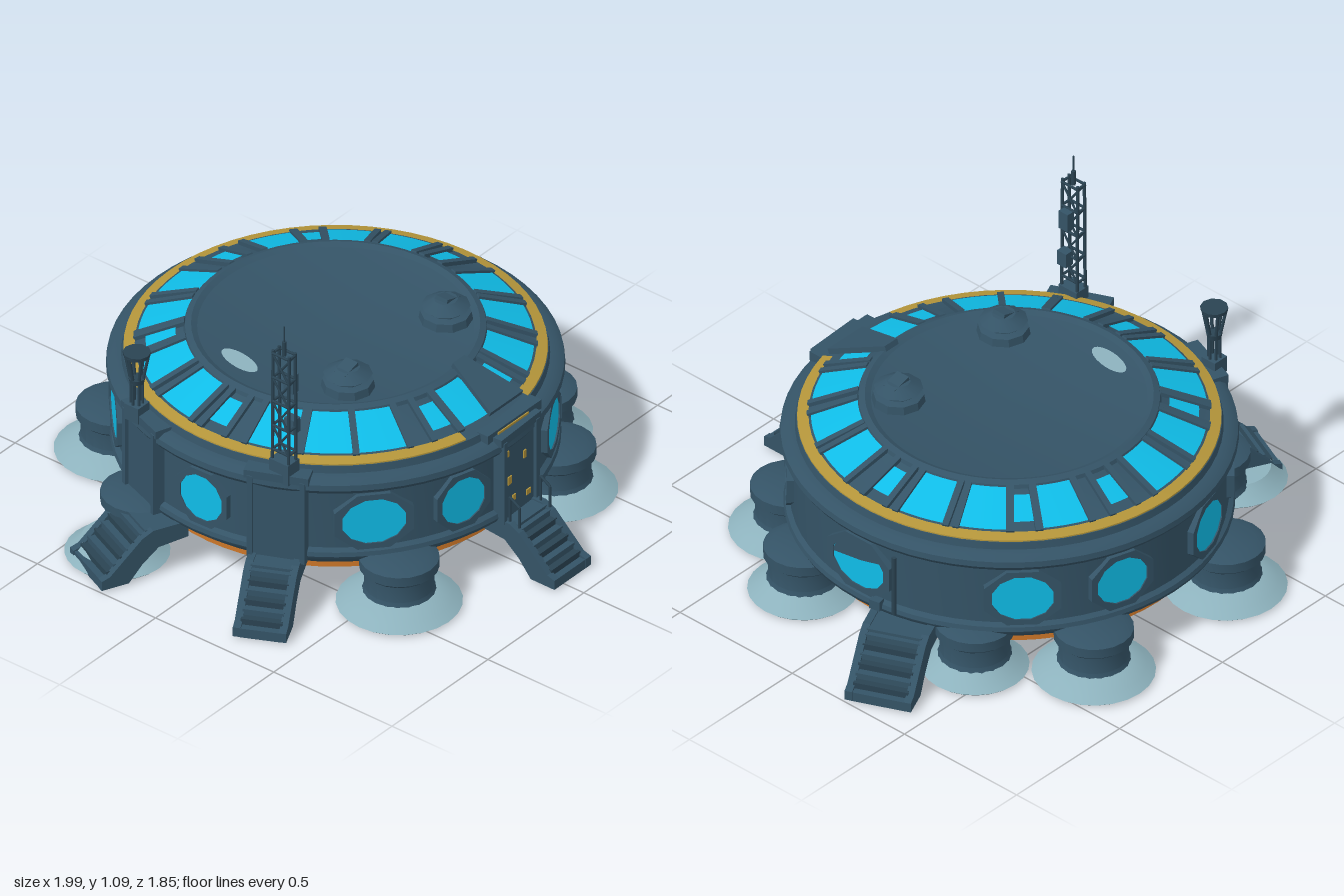
import * as THREE from 'three';
import { toCreasedNormals } from 'three/addons/utils/BufferGeometryUtils.js';

const mat = (name, color, side = THREE.FrontSide) => {
  const m = new THREE.MeshStandardMaterial({ color, side });
  m.name = name;
  return m;
};
const hull = mat('hull blue', 0x345366);
const dark = mat('dark frame', 0x2a4352);
const cyan = mat('cyan glass', 0x10c2ee, THREE.DoubleSide);
const yellow = mat('yellow trim', 0xb4953a);
const pale = mat('pale foot', 0x8db2bd, THREE.DoubleSide);
const rust = mat('rust', 0xbb6c24);
const under = mat('underside', 0xa8988f);

const rad = THREE.MathUtils.degToRad;
const v2 = ([x, y]) => new THREE.Vector2(x, y);

function add(parent, name, geo, material, x = 0, y = 0, z = 0) {
  const m = new THREE.Mesh(geo, material);
  m.name = name;
  m.position.set(x, y, z);
  parent.add(m);
  return m;
}
function sub(parent, name, x = 0, y = 0, z = 0, angle = 0) {
  const g = new THREE.Group();
  g.name = name;
  g.position.set(x, y, z);
  g.rotation.y = rad(angle);
  parent.add(g);
  return g;
}
const lathe = (pts, seg = 64, start = 0, len = Math.PI * 2) =>
  toCreasedNormals(new THREE.LatheGeometry(pts.map(v2), seg, start, len), 0.5);
const box = (w, h, d) => new THREE.BoxGeometry(w, h, d);

// Round bar between two points
function bar(parent, name, a, b, r, material = dark) {
  const p = new THREE.Vector3(...a), q = new THREE.Vector3(...b);
  const m = add(parent, name, new THREE.CylinderGeometry(r, r, p.distanceTo(q), 6), material);
  m.position.copy(p).add(q).multiplyScalar(0.5);
  m.quaternion.setFromUnitVectors(new THREE.Vector3(0, 1, 0), q.sub(p).normalize());
}

// Rounded wall window with raised frame; shaded ones have their upper part covered
function wallWindow(parent, angle, wide, shaded) {
  const g = sub(parent, 'wallWindow', 0, 0.33, 0, angle);
  const oval = (C, r, n) => {
    const c = new C();
    for (let i = 0; i < n; i++) {
      const t = (i + 0.5) * Math.PI * 2 / n;
      c[i ? 'lineTo' : 'moveTo'](Math.cos(t) * r * wide, Math.sin(t) * r);
    }
    c.closePath();
    return c;
  };
  const ring = oval(THREE.Shape, 0.115, 8);
  ring.holes.push(oval(THREE.Path, 0.088, 12));
  add(g, 'windowFrame', new THREE.ExtrudeGeometry(ring, { depth: 0.043, bevelEnabled: false }), hull, 0, 0, 0.692);
  add(g, 'windowGlass', new THREE.ShapeGeometry(oval(THREE.Shape, 0.091, 12)), cyan, 0, 0, 0.73);
  if (shaded) {
    const cover = new THREE.Shape([[-0.12, 0], [0.01, 0.02], [0.12, 0.05], [0.07, 0.09], [-0.07, 0.09]].map(v2));
    add(g, 'windowShade', new THREE.ShapeGeometry(cover), hull, 0, 0, 0.733);
  }
}

// Ramp with side stringers and treads; its outer end sits at x, z
function stairs(parent, x, z, heading, w) {
  const g = sub(parent, 'stairs', x, 0, z, heading);
  const s = new THREE.Shape([[0, 0.01], [0, 0.045], [-0.03, 0.055], [-0.15, 0.17], [-0.19, 0.19], [-0.32, 0.19],
    [-0.32, 0.13], [-0.21, 0.12], [-0.15, 0.07], [-0.1, 0.01]].map(v2));
  for (const side of [-1, 1]) {
    const geo = new THREE.ExtrudeGeometry(s, { depth: 0.026, bevelEnabled: false });
    geo.translate(0, 0, -0.013).rotateY(-Math.PI / 2);
    add(g, 'stringer', geo, hull, side * (w / 2 - 0.013));
  }
  for (let i = 0; i < 7; i++)
    add(g, 'tread', box(w - 0.04, 0.035, 0.045), i % 2 ? dark : hull, 0, 0.025 + i * 0.022, -0.025 - i * 0.025);
  add(g, 'landing', box(w - 0.04, 0.04, 0.16), hull, 0, 0.165, -0.25);
}

// Doorway block set into the wall
function doorway(parent, angle, w) {
  const g = sub(parent, 'doorway', 0, 0, 0, angle);
  add(g, 'doorBlock', box(w, 0.33, 0.07), hull, 0, 0.345, 0.71);
  for (const s of [-1, 1]) add(g, 'doorPost', box(0.018, 0.32, 0.02), hull, s * w * 0.45, 0.34, 0.748);
  add(g, 'doorHood', box(w * 1.1, 0.03, 0.08), hull, 0, 0.505, 0.715);
  return g;
}

// Stubby leg with a flared foot pad; the column may sit inward of the pad
function leg(parent, x, z, r, shift = 0) {
  const g = sub(parent, 'leg', x, 0, z);
  add(g, 'footPad', lathe([[0.08, 0.012], [r * 0.95, 0.004], [r, 0.012], [r * 0.85, 0.032], [0.12, 0.062], [0, 0.066]], 24), pale);
  add(g, 'legColumn', lathe([[0, 0.014], [0.09, 0.014], [0.125, 0.055], [0.116, 0.075], [0.116, 0.135],
    [0.133, 0.15], [0.133, 0.185], [0.1, 0.2], [0, 0.2]], 20), hull, shift);
}

export function createModel() {
  const model = new THREE.Group();
  model.name = 'roundBaseStation';
  const body = sub(model, 'body', 0, 0, -0.05);

  // Hull shell, underside and trim rings
  add(body, 'hullShell', lathe([[0.64, 0.122], [0.68, 0.14], [0.735, 0.185], [0.742, 0.2], [0.738, 0.215], [0.722, 0.225],
    [0.722, 0.44], [0.745, 0.455], [0.755, 0.47], [0.752, 0.49], [0.73, 0.505], [0.705, 0.508], [0.7, 0.534], [0.665, 0.54],
    [0.49, 0.609], [0.475, 0.622], [0.455, 0.616], [0, 0.62]]), hull);
  add(body, 'underside', lathe([[0, 0.1], [0.655, 0.104]]), under);
  add(body, 'rustRim', lathe([[0.655, 0.104], [0.665, 0.11], [0.66, 0.126], [0.63, 0.126]]), rust);
  add(body, 'yellowRing', lathe([[0.698, 0.53], [0.697, 0.539], [0.66, 0.548]], 60, rad(14), rad(333)), yellow);

  // Dark scuff under the floor
  const scuff = add(body, 'undersideScuff', new THREE.CircleGeometry(1, 16), hull, 0.05, 0.097, 0.03);
  scuff.scale.set(0.39, 0.05, 1);
  scuff.rotation.set(Math.PI / 2, 0, rad(27));

  // Sloping roof windows: centre angle and half width in degrees
  const wides = [-173, 149, 125, 106, 70, 51, 30, -4, -37, -53, -70, -105, -125, -153];
  const smalls = [168, 137, 90, 14, -17, -89, -139];
  const slope = Math.atan2(0.07, 0.175);
  const panes = [...wides.map(a => [a, 7]), ...smalls.map(a => [a, 3.4])];
  for (const [a, h] of panes) {
    const inset = h < 5 ? 0.028 : 0;
    add(body, 'roofGlass', lathe([[0.652 - inset, 0.551 + inset * 0.4], [0.498 + inset, 0.612 - inset * 0.4]], 4,
      rad(a - h), rad(2 * h)), cyan);
    for (const s of [-1, 1]) {
      const g = sub(body, 'roofRib', 0, 0, 0, a + s * (h + 1));
      add(g, 'rib', box(0.022, 0.02, 0.18), hull, 0, 0.579, 0.578).rotation.x = slope;
    }
  }
  add(body, 'innerRoofRing', lathe([[0.5, 0.605], [0.495, 0.618], [0.475, 0.626], [0.455, 0.616]]), hull);

  // Roof ridge and canopy above the front entrance
  const ridge = new THREE.Shape([[-0.03, -0.12], [0.03, -0.12], [0.085, 0.1], [-0.085, 0.1]].map(v2));
  const ridgeGeo = new THREE.ExtrudeGeometry(ridge, { depth: 0.02, bevelEnabled: false }).rotateX(Math.PI / 2);
  add(body, 'entranceRidge', ridgeGeo, hull, 0.07, 0.6, 0.575).rotation.x = slope;
  add(body, 'frontCanopy', box(0.28, 0.035, 0.08), hull, 0.04, 0.52, 0.685);
  add(body, 'canopyStripe', box(0.16, 0.012, 0.006), yellow, 0.03, 0.522, 0.726);

  // Roof vents
  for (const x of [-0.25, 0.26]) {
    const g = sub(model, 'roofVent', x, 0.615, 0.205);
    add(g, 'ventBase', lathe([[0.09, 0], [0.085, 0.03], [0.06, 0.036], [0.06, 0.05], [0.082, 0.055], [0.04, 0.08], [0, 0.082]], 10), hull);
    add(g, 'ventFlap', box(0.07, 0.014, 0.05), hull, Math.sign(x) * 0.01, 0.078, 0).rotation.z = -Math.sign(x) * 0.3;
  }

  // Pale worn patch on the roof
  const patch = add(model, 'roofPatch', new THREE.CircleGeometry(1, 20), pale, -0.365, 0.623, -0.16);
  patch.scale.set(0.035, 0.085, 1);
  patch.rotation.set(-Math.PI / 2, 0, rad(-12));

  // Wall windows
  for (const [a, w, shaded] of [[27, 1.04], [44, 1.15], [90, 1.3, true], [136, 1.2], [163, 1.1], [-164, 1.1],
    [-135, 1.35], [-88, 1], [-41, 1.25], [-16, 1]]) wallWindow(body, a, w, shaded);

  // Doorways, with worn yellow flecks on the front one
  const frontDoor = doorway(body, 3, 0.2);
  for (const [x, y, w, h] of [[-0.055, 0.33, 0.022, 0.03], [-0.07, 0.44, 0.02, 0.022], [0.05, 0.23, 0.024, 0.02],
    [0.03, 0.39, 0.014, 0.03], [-0.03, 0.25, 0.016, 0.022]])
    add(frontDoor, 'wornFleck', box(w, h, 0.005), yellow, x, y, 0.747);
  doorway(body, -110, 0.2);
  doorway(body, -66, 0.2);

  // Posts and a low box beside the right-hand stairs
  const sidePost = sub(body, 'sidePost', 0, 0, 0, 102);
  bar(sidePost, 'postBar', [0, 0.2, 0.745], [0, 0.43, 0.745], 0.008);
  add(sidePost, 'postBox', box(0.04, 0.035, 0.03), hull, -0.07, 0.215, 0.74);

  // Stairs
  stairs(model, 0.04, 0.92, 0, 0.19);
  stairs(model, 0.95, -0.335, 114, 0.23);
  stairs(model, -0.95, -0.335, -114, 0.23);
  stairs(model, -0.89, 0.35, -64, 0.18);

  // Legs
  for (const [x, z, r, shift] of [[-0.32, -0.72, 0.205], [0.32, -0.72, 0.205], [0.56, -0.41, 0.18], [0.63, 0.29, 0.185],
    [0.41, 0.55, 0.205], [-0.42, 0.56, 0.21], [-0.78, -0.34, 0.175, 0.12]]) leg(model, x, z, r, shift);

  // Handrails beside the front stairs
  for (const x of [-0.04, 0.12]) {
    const g = sub(model, 'handrail', x, 0, 0);
    bar(g, 'railPost', [0, 0.18, 0.76], [0, 0.26, 0.76], 0.005);
    bar(g, 'railTop', [0, 0.26, 0.76], [0, 0.285, 0.72], 0.005);
    bar(g, 'railPost', [0, 0.285, 0.72], [0, 0.19, 0.72], 0.005);
  }

  // Lattice radio mast
  const mast = sub(model, 'radioMast', -0.65, 0, 0.26);
  const c = [[-0.02, -0.034], [0.02, -0.034], [0.02, 0.034], [-0.02, 0.034]];
  add(mast, 'mastBase', box(0.06, 0.08, 0.08), hull, 0, 0.525, 0);
  c.forEach(([x, z], i) => {
    const [u, w] = c[(i + 1) % 4];
    bar(mast, 'mastPost', [x, 0.5, z], [x * 0.8, 0.99, z], 0.006);
    for (let k = 0; k < 5; k++) {
      const y = 0.6 + k * 0.095;
      bar(mast, 'mastRung', [x, y, z], [u, y, w], 0.005);
      if (k < 4 && i % 2) bar(mast, 'mastBrace', [x, y, z], [u, y + 0.095, w], 0.004);
    }
  });
  bar(mast, 'antenna', [0, 0.98, 0], [0, 1.09, 0], 0.003);
  bar(mast, 'antennaBase', [0, 0.975, 0], [0, 1.03, 0], 0.008);
  add(mast, 'mastUnit', box(0.03, 0.07, 0.04), hull, 0.035, 0.85, 0);
  add(mast, 'mastUnit', box(0.035, 0.055, 0.04), hull, 0.03, 0.69, 0.01);

  // Flared beacon
  const beacon = sub(model, 'beacon', -0.685, 0, -0.335);
  add(beacon, 'beaconBase', box(0.06, 0.06, 0.06), hull, 0, 0.52, 0);
  for (let i = 0; i < 6; i++) {
    const t = i * Math.PI / 3, p = r => [Math.cos(t) * r, Math.sin(t) * r];
    const [a, b] = p(0.02), [d, e] = p(0.04);
    bar(beacon, 'beaconPost', [a, 0.52, b], [a, 0.64, b], 0.005);
    bar(beacon, 'beaconArm', [a, 0.64, b], [d, 0.745, e], 0.006);
  }
  add(beacon, 'beaconCollar', new THREE.CylinderGeometry(0.028, 0.024, 0.02, 10), dark, 0, 0.64, 0);
  add(beacon, 'beaconTop', new THREE.CylinderGeometry(0.047, 0.045, 0.014, 10), dark, 0, 0.745, 0);

  return model;
}
